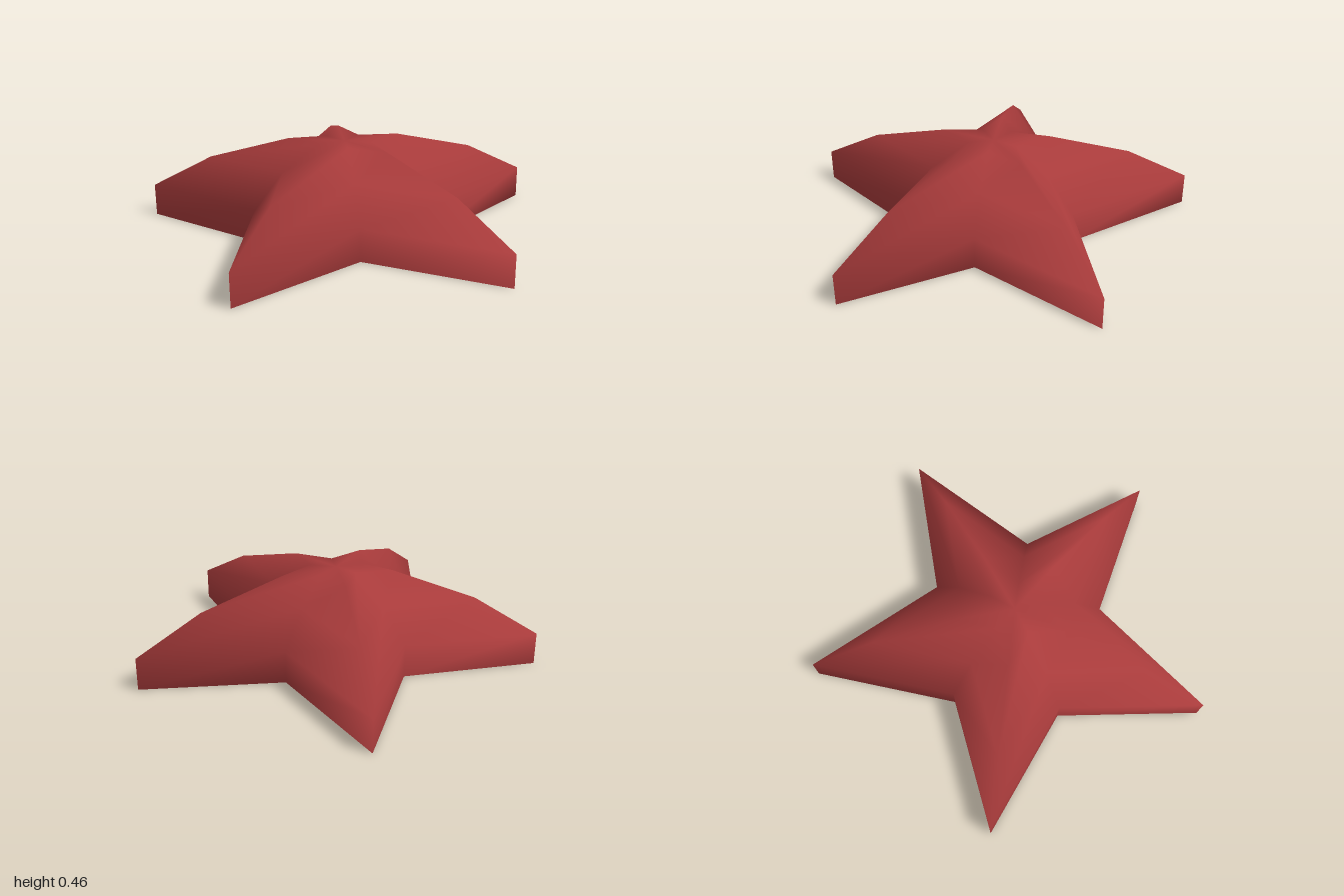
import * as THREE from 'three';

// Star outline as [x, z], alternating tips and notches
const OUTLINE = [
  [0.96, -0.03], [0.28, 0.29], [0.28, 0.99], [-0.22, 0.45], [-0.91, 0.66],
  [-0.59, 0.01], [-0.96, -0.57], [-0.28, -0.43], [0.19, -1.0], [0.28, -0.25],
];
const CENTER = [-0.11, 0.005];

// Stacked rings as [height, scale], from the open rim to the flat crown
const RINGS = [[0, 1], [0.165, 1], [0.34, 0.687], [0.46, 0.28]];

function starShellGeometry() {
  const n = OUTLINE.length;
  const positions = [];
  const index = [];
  for (const [y, s] of RINGS) {
    for (const [x, z] of OUTLINE) {
      positions.push(CENTER[0] + (x - CENTER[0]) * s, y, CENTER[1] + (z - CENTER[1]) * s);
    }
  }
  // Side bands between neighbouring rings
  for (let r = 0; r < RINGS.length - 1; r++) {
    for (let i = 0; i < n; i++) {
      const a = r * n + i;
      const b = r * n + (i + 1) % n;
      index.push(a, a + n, b, b, a + n, b + n);
    }
  }
  // Flat crown fanned around the centre
  const top = (RINGS.length - 1) * n;
  const hub = positions.length / 3;
  positions.push(CENTER[0], RINGS[RINGS.length - 1][0], CENTER[1]);
  for (let i = 0; i < n; i++) index.push(hub, top + (i + 1) % n, top + i);

  const geometry = new THREE.BufferGeometry();
  geometry.setAttribute('position', new THREE.Float32BufferAttribute(positions, 3));
  geometry.setIndex(index);
  geometry.computeVertexNormals();
  return geometry;
}

export function createModel() {
  const group = new THREE.Group();
  group.name = 'star';

  // Hollow shell, open underneath
  const red = new THREE.MeshStandardMaterial({ color: 0xa83b3b, side: THREE.DoubleSide });
  red.name = 'brick red';
  const shell = new THREE.Mesh(starShellGeometry(), red);
  shell.name = 'starShell';
  group.add(shell);
  return group;
}
